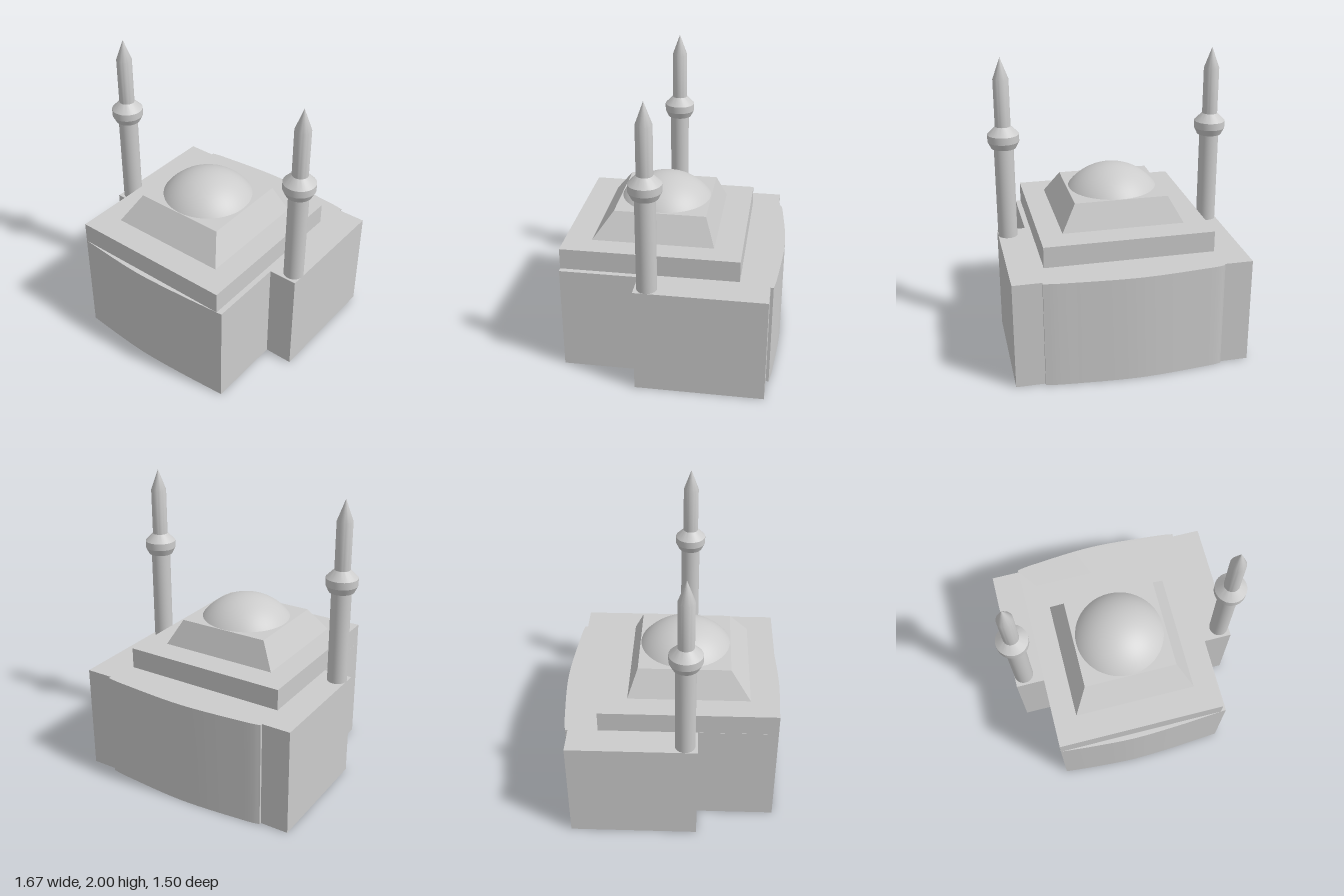
import * as THREE from 'three';
import { toCreasedNormals } from 'three/addons/utils/BufferGeometryUtils.js';

const material = new THREE.MeshStandardMaterial({ color: 0xcccccc });

function part(name, geometry, x = 0, y = 0, z = 0) {
  const mesh = new THREE.Mesh(geometry, material);
  mesh.name = name;
  mesh.position.set(x, y, z);
  return mesh;
}

// Block whose bottom and top rectangles are given as [x0, x1, z0, z1]
function taperedBlock(bottom, top, y0, y1) {
  const geometry = new THREE.BoxGeometry(1, 1, 1);
  const p = geometry.attributes.position;
  for (let i = 0; i < p.count; i++) {
    const up = p.getY(i) > 0;
    const r = up ? top : bottom;
    p.setXYZ(i, r[p.getX(i) > 0 ? 1 : 0], up ? y1 : y0, r[p.getZ(i) > 0 ? 3 : 2]);
  }
  geometry.computeVertexNormals();
  return geometry;
}

// Main hall: plan with bowed front and back walls and two side wings
function hallGeometry(height) {
  const v = (x, z) => new THREE.Vector2(x, -z);
  const shape = new THREE.Shape();
  shape.moveTo(-0.597, 0.18 * -1);
  shape.lineTo(-0.597, -0.712);
  shape.splineThru([v(-0.35, 0.733), v(-0.07, 0.747), v(0.25, 0.735), v(0.597, 0.71)]);
  shape.lineTo(0.597, -0.18);
  shape.lineTo(0.793, -0.18);
  shape.lineTo(0.793, 0.686);
  shape.lineTo(0.6, 0.686);
  shape.lineTo(0.6, 0.706);
  shape.splineThru([v(0.45, -0.725), v(-0.02, -0.754), v(-0.48, -0.721), v(-0.6, -0.702)]);
  shape.lineTo(-0.6, 0.686);
  shape.lineTo(-0.796, 0.686);
  shape.lineTo(-0.796, -0.18);
  shape.closePath();
  const geometry = new THREE.ExtrudeGeometry(shape, { depth: height, bevelEnabled: false, curveSegments: 6 });
  geometry.rotateX(-Math.PI / 2);
  return toCreasedNormals(geometry, 0.3);
}

// Spherical cap from its rim radius and height
function domeGeometry(rim, height) {
  const R = (rim * rim + height * height) / (2 * height);
  const geometry = new THREE.SphereGeometry(R, 48, 16, 0, Math.PI * 2, 0, Math.asin(rim / R));
  return geometry.translate(0, height - R, 0);
}

// Minaret: shaft, flared balcony, slimmer upper shaft and pointed cap
function minaretGeometry() {
  const profile = [
    [0, 0.74], [0.067, 0.74], [0.067, 1.385], [0.085, 1.385], [0.107, 1.43],
    [0.107, 1.48], [0.053, 1.535], [0.053, 1.855], [0, 2],
  ].map(([r, y]) => new THREE.Vector2(r, y));
  return toCreasedNormals(new THREE.LatheGeometry(profile, 32), 0.4);
}

export function createModel() {
  const model = new THREE.Group();
  model.name = 'mosque';

  model.add(part('mainHall', hallGeometry(0.74)));

  const tier = [-0.596, 0.56, -0.486, 0.712];
  model.add(part('upperTier', taperedBlock(tier, tier, 0.74, 0.885)));

  model.add(part('domeBase', taperedBlock(
    [-0.436, 0.402, -0.298, 0.526], [-0.338, 0.304, -0.23, 0.392], 0.885, 1.065)));

  model.add(part('dome', domeGeometry(0.306, 0.15), -0.017, 1.065, 0.081));

  const minaret = minaretGeometry();
  model.add(part('leftMinaret', minaret, 0.726, 0, 0.097));
  model.add(part('rightMinaret', minaret, -0.728, 0, 0.097));
  return model;
}
